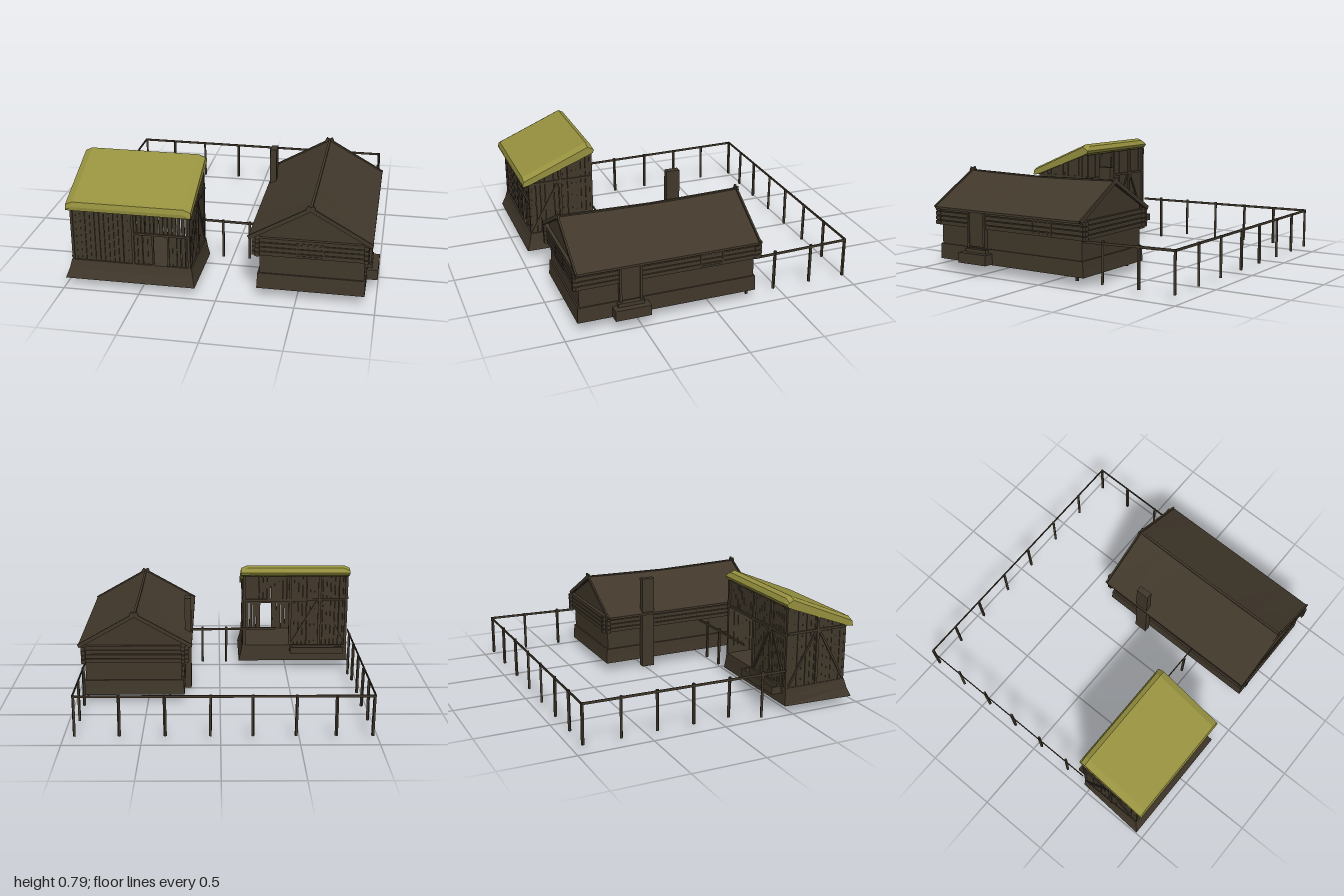
import * as THREE from 'three';

const mat = (name, color, side = THREE.FrontSide) =>
  Object.assign(new THREE.MeshStandardMaterial({ color, flatShading: true, side }), { name });

export function createModel() {
  const wood = mat('dark wood', 0x41382b, THREE.DoubleSide);
  const thatch = mat('mossy thatch', 0x96913f);
  let seed = 7;
  const rand = () => (seed = (seed * 16807) % 2147483647) / 2147483647;

  const add = (parent, name, geo, m = wood) => {
    const mesh = new THREE.Mesh(geo, m);
    mesh.name = name;
    parent.add(mesh);
    return mesh;
  };
  // box given by its extents
  const box = (parent, name, x0, x1, y0, y1, z0, z1) => {
    const b = add(parent, name, new THREE.BoxGeometry(x1 - x0, y1 - y0, z1 - z0));
    b.position.set((x0 + x1) / 2, (y0 + y1) / 2, (z0 + z1) / 2);
    return b;
  };
  // square timber between two points
  const beam = (parent, name, a, b, w = 0.015, h = w) => {
    const p = new THREE.Vector3(...a), q = new THREE.Vector3(...b);
    const t = add(parent, name, new THREE.BoxGeometry(w, h, p.distanceTo(q)));
    t.position.copy(p).add(q).multiplyScalar(0.5);
    t.lookAt(q);
    return t;
  };
  const bend = (geo, rule) => {
    const p = geo.attributes.position, v = new THREE.Vector3();
    for (let i = 0; i < p.count; i++) {
      v.fromBufferAttribute(p, i);
      rule(v);
      p.setXYZ(i, v.x, v.y, v.z);
    }
    geo.computeVertexNormals();
    return geo;
  };
  const extrude = (pts, depth, steps = 1) => new THREE.ExtrudeGeometry(
    new THREE.Shape(pts.map(p => new THREE.Vector2(...p))), { depth, steps, bevelEnabled: false });
  // hollow plinth flaring from extents t (top) to b (bottom): [front x0, x1, z0, z1, back x0]
  const plinth = (parent, name, t, b, y0, y1) => {
    const shell = new THREE.CylinderGeometry(Math.SQRT1_2, Math.SQRT1_2, 1, 4, 2, true).rotateY(Math.PI / 4);
    add(parent, name, bend(shell, v => {
      const k = v.y > 0.4 ? 0 : v.y > -0.4 ? 0.4 : 1;
      const e = t.map((n, i) => n + (b[i] - n) * k);
      v.set(v.x > 0 ? e[1] : v.z < 0 ? e[4] : e[0], y0 + (v.y + 0.5) * (y1 - y0), v.z < 0 ? e[2] : e[3]);
    }));
    box(parent, name + 'Floor', t[0], t[1], y1 - 0.012, y1, t[2], t[3]);
  };

  const root = new THREE.Group();
  root.name = 'farmstead';
  const group = name => {
    const g = new THREE.Group();
    g.name = name;
    root.add(g);
    return g;
  };

  // ---- log house ----
  const house = group('house');
  plinth(house, 'housePlinth', [0.25, 0.93, -0.295, 0.895, 0.25], [0.245, 0.93, -0.30, 0.90, 0.245], 0.065, 0.17);
  add(house, 'houseWalls', extrude([[0.262, 0.165], [0.922, 0.165], [0.922, 0.443], [0.58, 0.622], [0.262, 0.45]], 1.17))
    .position.z = -0.285;
  for (let i = 0; i < 4; i++) {
    const y = 0.315 + i * 0.031;
    for (const x of [0.253, 0.93]) box(house, 'sideLog', x - 0.014, x + 0.014, y - 0.013, y + 0.013, -0.33, 0.925);
    for (const z of [-0.295, 0.893]) box(house, 'gableLog', 0.215, 0.948, y - 0.013, y + 0.013, z - 0.014, z + 0.014);
  }
  // roof with a gently sagging ridge
  const slope = [[0.193, 0.425], [0.193, 0.41], [0.58, 0.62], [0.967, 0.41], [0.967, 0.425], [0.58, 0.642]];
  add(house, 'houseRoof', bend(extrude(slope, 1.2, 6), v => {
    if (v.y > 0.5) v.y -= 0.012 * Math.sin(Math.PI * v.z / 1.2);
  })).position.z = -0.297;
  // crossed gable boards and ridge cap
  for (const z of [-0.305, 0.908]) {
    beam(house, 'gableBoard', [0.195, 0.42, z], [0.605, 0.653, z], 0.012, 0.026);
    beam(house, 'gableBoard', [0.965, 0.42, z], [0.555, 0.653, z], 0.012, 0.026);
  }
  for (const z of [-0.3, 0.9]) beam(house, 'ridgeCap', [0.58, 0.638, z], [0.58, 0.626, 0.3], 0.016, 0.014);
  // windows on the front, back and right walls
  const frame = (name, at, u0, u1) => {
    for (const y of [0.312, 0.398]) beam(house, name, at(u0, y), at(u1, y), 0.01);
    for (const u of [u0, u1]) beam(house, name, at(u, 0.31), at(u, 0.4), 0.01);
  };
  frame('frontWindowFrame', (u, y) => [u, y, 0.906], 0.5, 0.665);
  frame('sideWindowFrame', (u, y) => [0.943, y, u], -0.06, 0.09);
  // door and steps
  box(house, 'door', 0.925, 0.948, 0.18, 0.41, 0.495, 0.62);
  for (const z of [0.49, 0.625]) box(house, 'doorPost', 0.925, 0.955, 0.17, 0.42, z - 0.008, z + 0.008);
  box(house, 'lowerStep', 0.92, 1.0, 0.07, 0.14, 0.44, 0.675);
  box(house, 'upperStep', 0.92, 0.96, 0.14, 0.165, 0.47, 0.645);
  box(house, 'chimney', 0.203, 0.247, 0.015, 0.68, -0.035, 0.058);
  for (const x of [0.35, 0.915]) box(house, 'footing', x - 0.007, x + 0.007, 0.04, 0.08, -0.25, -0.235);

  // ---- barn ----
  const barn = group('barn');
  plinth(barn, 'barnPlinth', [-0.962, -0.17, 0.46, 0.915, -0.96], [-1.0, -0.145, 0.455, 0.952, -0.972], 0.05, 0.17);
  const roofY = z => 0.545 + (0.925 - z) * 0.375;
  // thatch, rounded off towards both ends
  const profile = [[-0.955, 0.535], [-0.92, 0.54], [-0.5, 0.7], [-0.452, 0.72], [-0.443, 0.74],
    [-0.458, 0.772], [-0.49, 0.786], [-0.925, 0.602], [-0.95, 0.592], [-0.958, 0.56]];
  add(barn, 'thatchRoof', bend(extrude(profile, 0.81, 18), v => {
    const top = v.y > roofY(-v.x) + 0.015;
    if (top && (v.z < 0.01 || v.z > 0.8)) v.y -= 0.02;
  }).rotateY(Math.PI / 2), thatch).position.x = -0.97;

  // upright planks along x with narrow gaps
  const planksX = (name, x0, x1, y0, y1, z, gap) => {
    const n = Math.max(1, Math.round((x1 - x0) / 0.03)), w = (x1 - x0) / n;
    for (let i = 0; i < n; i++) {
      const g = gap * rand();
      box(barn, name, x0 + i * w, x0 + (i + 1) * w - g, y0, y1, z - 0.005, z + 0.003 + 0.003 * rand());
    }
  };
  const FZ = 0.9, BZ = 0.475;
  planksX('frontPlank', -0.955, -0.55, 0.165, 0.555, FZ, 0.004);
  planksX('frontPlank', -0.55, -0.42, 0.165, 0.385, FZ, 0.004);
  planksX('frontPlank', -0.32, -0.175, 0.165, 0.385, FZ, 0.007);
  planksX('frontPlank', -0.55, -0.175, 0.385, 0.555, FZ, 0.009);
  box(barn, 'frontHeader', -0.955, -0.175, 0.505, 0.555, FZ - 0.012, FZ - 0.004);
  planksX('backPlank', -0.955, -0.53, 0.165, 0.705, BZ, 0.004);
  planksX('backPlank', -0.53, -0.175, 0.52, 0.705, BZ, 0.004);
  // side planks cut to the roof slope
  for (const x of [-0.953, -0.183]) {
    const n = 13, w = (FZ - BZ) / n;
    for (let i = 0; i < n; i++) {
      const a = BZ + i * w, b = a + w - 0.004 * rand();
      const g = extrude([[-b, 0.165], [-a, 0.165], [-a, roofY(a)], [-b, roofY(b)]], 0.009).rotateY(Math.PI / 2);
      add(barn, 'sidePlank', g).position.x = x - 0.0045;
    }
  }
  // frame posts, rails and diagonal braces
  for (const x of [-0.95, -0.55, -0.185]) beam(barn, 'frontPost', [x, 0.165, 0.906], [x, 0.55, 0.906], 0.016);
  for (const x of [-0.95, -0.75, -0.53, -0.185]) beam(barn, 'backPost', [x, 0.165, 0.467], [x, 0.71, 0.467], 0.02);
  beam(barn, 'lintel', [-0.55, 0.385, 0.908], [-0.175, 0.385, 0.908], 0.014);
  beam(barn, 'backLintel', [-0.95, 0.525, 0.466], [-0.175, 0.525, 0.466], 0.016);
  for (const x of [-0.42, -0.32]) beam(barn, 'doorwayPost', [x, 0.165, 0.906], [x, 0.385, 0.906], 0.012);
  beam(barn, 'backBrace', [-0.94, 0.18, 0.468], [-0.77, 0.51, 0.468], 0.014);
  beam(barn, 'backBrace', [-0.54, 0.18, 0.468], [-0.73, 0.51, 0.468], 0.014);
  for (const x of [-0.958, -0.178]) {
    beam(barn, 'sidePost', [x, 0.165, 0.69], [x, 0.63, 0.69], 0.018);
    beam(barn, 'sideBrace', [x, 0.18, 0.9], [x, 0.54, 0.7], 0.014);
    beam(barn, 'sideBrace', [x, 0.18, 0.48], [x, 0.54, 0.68], 0.014);
    beam(barn, 'sideRail', [x, 0.54, 0.905], [x, 0.54, 0.465], 0.016);
  }
  // trough behind the barn
  box(barn, 'troughFloor', -0.93, -0.53, 0.13, 0.142, 0.375, 0.46);
  for (const z of [0.382, 0.438]) box(barn, 'troughSide', -0.93, -0.53, 0.14, 0.18, z - 0.007, z + 0.007);
  for (const x of [-0.923, -0.537]) box(barn, 'troughEnd', x - 0.007, x + 0.007, 0.14, 0.18, 0.375, 0.445);

  // ---- fence ----
  const fence = group('fence');
  const L = -0.965, R = 0.923, B = -0.955;
  const rails = [[[L, 0.295, 0.45], [L, 0.31, B]], [[L, 0.31, B], [R, 0.308, B]],
    [[R, 0.308, B], [R, 0.295, -0.3]], [[-0.42, 0.305, 0.457], [0.25, 0.297, 0.457]]];
  for (const [a, b] of rails) beam(fence, 'fenceRail', a, b, 0.006, 0.016);
  const post = (x, z, y0 = 0.042) => beam(fence, 'fencePost',
    [x + 0.008 * (rand() - 0.5), y0, z + 0.008 * (rand() - 0.5)], [x, 0.316, z], 0.015);
  for (const x of [-0.958, -0.725, -0.477, -0.2, 0.062, 0.35, 0.635, 0.917]) post(x, B + 0.004);
  for (const z of [-0.7, -0.46, -0.21, 0.045]) post(L + 0.008, z);
  post(L + 0.008, 0.288, 0);
  for (const z of [-0.7, -0.44]) post(R - 0.006, z);
  for (const x of [-0.05, 0.13]) post(x, 0.464);

  return root;
}
